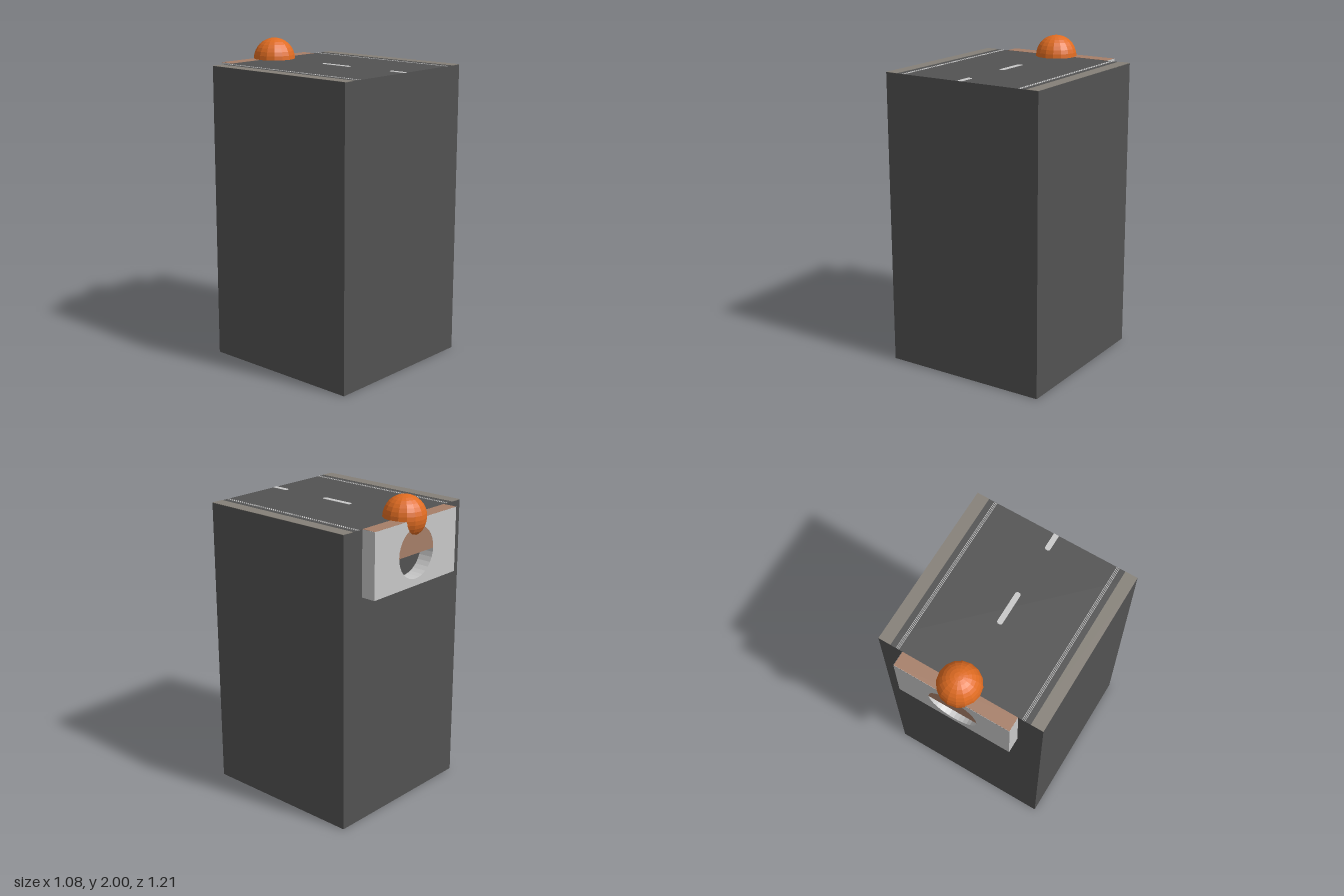
import * as THREE from 'three';

export function createModel() {
  const group = new THREE.Group();
  const mat = (name, color, extra = {}) => {
    const m = new THREE.MeshStandardMaterial({ color, ...extra });
    m.name = name;
    return m;
  };
  const asphalt = mat('asphalt', 0x525252, { side: THREE.DoubleSide });
  const gravel = mat('gravel', 0x858078);
  const white = mat('lightGrey', 0xc8c8c8);
  const clay = mat('clay', 0xa67e68);
  const orange = mat('orange', 0xe06c22, { flatShading: true });

  const add = (name, geometry, material, x = 0, y = 0, z = 0) => {
    const mesh = new THREE.Mesh(geometry, material);
    mesh.name = name;
    mesh.position.set(x, y, z);
    group.add(mesh);
    return mesh;
  };

  const W = 1.077, H = 1.867, front = 0.605, back = -0.472;
  const depth = front - back, midZ = (front + back) / 2;

  // Road block: a box shell that is open underneath
  const shell = new THREE.BoxGeometry(W, H, depth);
  const index = Array.from(shell.index.array);
  index.splice(18, 6);
  shell.setIndex(index);
  shell.clearGroups();
  add('roadBlock', shell, asphalt, 0, H / 2, midZ);

  // Shoulders and thin edge lines on both sides
  for (const side of [-1, 1]) {
    add('shoulder', new THREE.BoxGeometry(0.08, 0.003, depth), gravel, side * (W / 2 - 0.04), H, midZ);
    for (const x of [0.404, 0.412, 0.42]) {
      add('edgeLine', new THREE.BoxGeometry(0.003, 0.002, depth), white, side * x, H, midZ);
    }
  }

  // Centre dashes with clipped corners; the front one is cut by the road end
  const dash = (z0, z1, endClip) => {
    const w = 0.017, c = 0.009;
    const s = new THREE.Shape();
    s.moveTo(-w + c, -z0);
    s.lineTo(w - c, -z0);
    s.lineTo(w, -z0 - c);
    s.lineTo(w, -z1 + endClip);
    s.lineTo(w - endClip, -z1);
    s.lineTo(-w + endClip, -z1);
    s.lineTo(-w, -z1 + endClip);
    s.lineTo(-w, -z0 - c);
    s.closePath();
    const g = new THREE.ExtrudeGeometry(s, { depth: 0.003, bevelEnabled: false });
    g.rotateX(-Math.PI / 2);
    add('centreDash', g, white, 0, H - 0.001, 0);
  };
  dash(-0.05, 0.175, 0.009);
  dash(0.49, front, 0);

  // Back plate with a round hole
  const pw = 0.378, y0 = 1.46, thick = 0.094;
  const plate = new THREE.Shape();
  plate.moveTo(-pw, y0);
  plate.lineTo(pw, y0);
  plate.lineTo(pw, H);
  plate.lineTo(-pw, H);
  plate.closePath();
  const hole = new THREE.Path();
  hole.absarc(0, 1.664, 0.16, 0, Math.PI * 2, true);
  plate.holes.push(hole);
  add('backPlate', new THREE.ExtrudeGeometry(plate, { depth: thick, bevelEnabled: false, curveSegments: 16 }),
    white, 0, 0, back - thick);

  // Clay bar filling the upper half of the plate
  const barBottom = 1.658, barTop = H + 0.001;
  add('clayBar', new THREE.BoxGeometry(pw * 2 - 0.002, barTop - barBottom, thick - 0.001), clay,
    0, (barTop + barBottom) / 2, back - (thick - 0.001) / 2);

  // Ball on the back edge
  add('ball', new THREE.SphereGeometry(0.133, 16, 16), orange, 0, H, back);

  return group;
}
